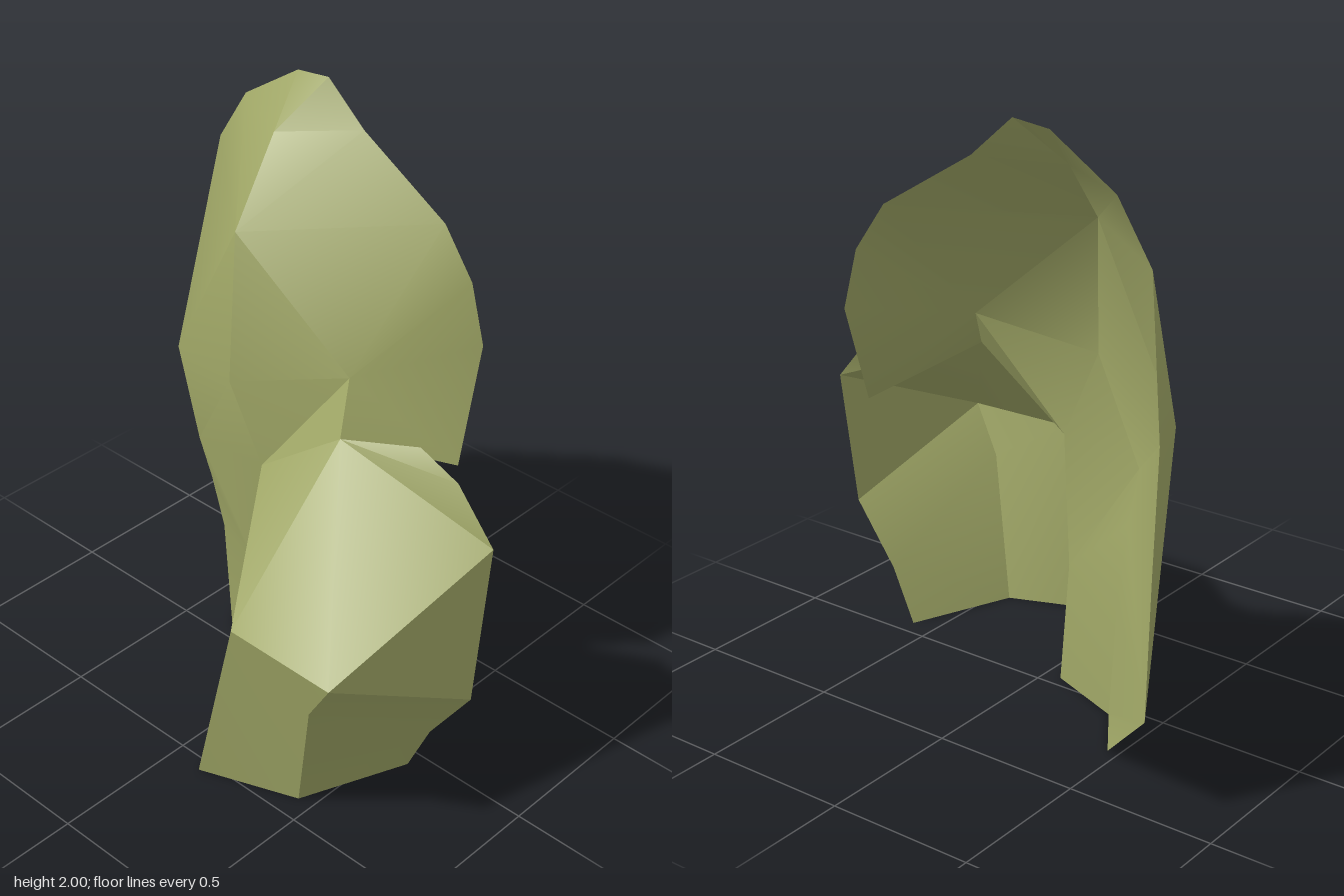
import * as THREE from 'three';
import { toCreasedNormals } from 'three/addons/utils/BufferGeometryUtils.js';

// Each facet is a corner loop, counter-clockwise from outside, fanned from its first corner.
function shell(name, facets, material) {
  const positions = [];
  for (const loop of facets) {
    for (let i = 1; i < loop.length - 1; i++) {
      positions.push(...loop[0], ...loop[i], ...loop[i + 1]);
    }
  }
  const geometry = new THREE.BufferGeometry();
  geometry.setAttribute('position', new THREE.Float32BufferAttribute(positions, 3));
  const mesh = new THREE.Mesh(toCreasedNormals(geometry, 0.53), material);
  mesh.name = name;
  return mesh;
}

export function createModel() {
  const group = new THREE.Group();
  group.name = 'rockShell';

  const moss = new THREE.MeshStandardMaterial({ color: 0x9ea565, side: THREE.DoubleSide });
  moss.name = 'mossyGreen';

  // Open back rim of the tall stone, from lower left over the crown to the right
  const rimLeft = [[-0.46, 0, -0.25], [-0.77, 0.32, -0.51], [-0.785, 0.78, -0.51], [-0.825, 1.2, -0.545]];
  const rimCrown = [
    [-0.7, 1.645], [-0.58, 1.835], [-0.35, 1.985], [-0.22, 2],
    [-0.07, 1.87], [0.265, 1.67], [0.38, 1.51], [0.435, 1.31],
  ].map(([x, y]) => [x, y, -0.41]);
  const rimEnd = [0.48, 0.96, -0.26];

  // Ridge running down from the crown, and the shoulder beside it
  const ridge = [[-0.3, 1.845, -0.25], [-0.225, 1.62, 0], [-0.165, 1.15, 0.095]];
  const shoulder = [[0.2, 1.25, -0.06], [0.265, 1.11, 0.05]];

  // Left crease of the tall stone, and the seam between the two stones
  const crease = [[-0.56, 1.045, -0.06], [-0.36, 0.825, 0.045], [-0.352, 0.65, 0], [-0.355, 0.42, -0.055], [-0.33, 0, -0.06]];
  const seam = [[-0.06, 0.865, 0.06], [-0.09, 0.42, 0.05], [-0.06, 0, 0.045]];

  // Front face and right rim of the low stone
  const face = [[0.28, 0.66, 0.545], [0.12, 0, 0.545], [0.445, 0, 0.42], [0.575, 0.49, 0.515], [0.68, 0.655, 0.545]];
  const lowRim = [[0.5, 1.14, -0.05], [0.65, 1.08, -0.05], [0.795, 0.91, -0.05], [0.825, 0.41, 0.055], [0.675, 0.19, 0.06], [0.59, 0, 0.06]];

  const [foot, hip, waist, chest] = rimLeft;
  const [c0, c1, c2, c3, c4] = crease;

  group.add(shell('tallStone', [
    // crown left of the ridge
    [ridge[0], rimCrown[3], rimCrown[2], rimCrown[1]],
    [ridge[1], ridge[0], rimCrown[1], rimCrown[0], c0, ridge[2]],
    [c0, rimCrown[0], chest],
    // crown right of the ridge
    [ridge[1], ridge[2], shoulder[0], rimCrown[5], rimCrown[4], ridge[0]],
    [ridge[0], rimCrown[4], rimCrown[3]],
    // right wing
    [shoulder[0], shoulder[1], rimEnd, rimCrown[7], rimCrown[6], rimCrown[5]],
    // neck and front
    [seam[0], shoulder[1], shoulder[0], ridge[2]],
    [ridge[2], c0, c1, seam[0]],
    [seam[1], seam[0], c1, c2, c3],
    [seam[1], c3, c4, seam[2]],
    // left flank
    [c0, chest, waist, hip],
    [hip, c4, c3, c2, c1, c0],
    [hip, foot, c4],
  ], moss));

  group.add(shell('lowStone', [
    // sloping top
    [shoulder[1], seam[0], face[0], face[4], lowRim[2], lowRim[1], lowRim[0]],
    // front
    face,
    // left wall
    [seam[1], seam[2], face[1], face[0], seam[0]],
    // right wall
    [lowRim[3], lowRim[2], face[4], face[3]],
    [face[3], face[2], lowRim[4], lowRim[3]],
    [face[2], lowRim[5], lowRim[4]],
  ], moss));

  return group;
}
